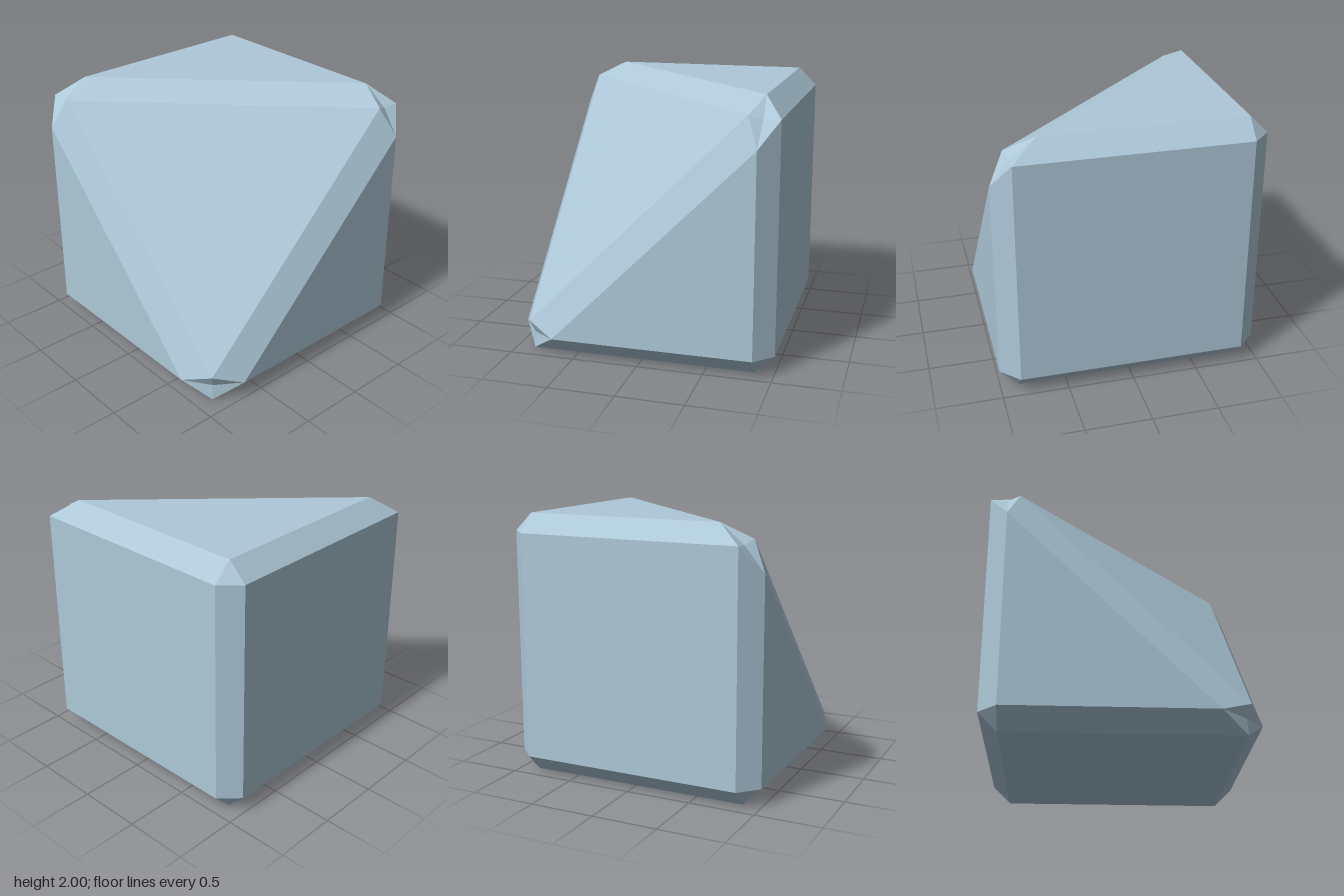
import * as THREE from 'three';

// A bevelled cube with one corner sliced off, symmetric about the diagonal (1,1,1).
const b = 0.861; // bevel inset on cube faces
const t = 0.668; // tip of the half faces beside the slice
const c = 0.888, d = 0.776; // corners of the slice face

// Cyclic axis turn: a third of a revolution about the diagonal
const turn = ([x, y, z]) => [z, x, y];
const threeTimes = (polys) => polys.flatMap((p) => {
  const q = p.map(turn);
  return [p, q, q.map(turn)];
});

// Builds flat polygons as triangle fans, each wound to face away from the centre
function facets(polys) {
  const pos = [];
  for (const poly of polys) {
    const v = poly.map((p) => new THREE.Vector3(...p));
    for (let i = 1; i < v.length - 1; i++) {
      const tri = [v[0], v[i], v[i + 1]];
      const n = tri[1].clone().sub(tri[0]).cross(tri[2].clone().sub(tri[0]));
      if (n.dot(tri[0]) < 0) tri.reverse();
      tri.forEach((p) => pos.push(p.x, p.y, p.z));
    }
  }
  const geo = new THREE.BufferGeometry();
  geo.setAttribute('position', new THREE.Float32BufferAttribute(pos, 3));
  geo.translate(0, 1, 0);
  geo.computeVertexNormals();
  return geo;
}

export function createModel() {
  const group = new THREE.Group();
  group.name = 'slicedCube';
  const mat = new THREE.MeshStandardMaterial({ color: 0xadc8d8 });
  mat.name = 'paleBlue';
  const add = (name, polys) => {
    const mesh = new THREE.Mesh(facets(polys), mat);
    mesh.name = name;
    group.add(mesh);
  };

  // Main faces
  add('squareFaces', threeTimes([[[-1, -b, -b], [-1, b, -b], [-1, b, b], [-1, -b, b]]]));
  add('halfFaces', threeTimes([[[1, -b, -b], [1, t, -b], [1, -b, t]]]));
  add('sliceFace', [[[c, c, -d], [-d, c, c], [c, -d, c]]]);

  // Bevel strips along the edges
  add('sliceBevels', threeTimes([[[c, -d, c], [c, c, -d], [1, t, -b], [1, -b, t]]]));
  add('edgeBevels', threeTimes([
    [[-1, -b, -b], [-b, -1, -b], [-b, -1, b], [-1, -b, b]],
    [[-1, -b, b], [-b, -b, 1], [-b, t, 1], [-1, b, b]],
    [[-1, b, -b], [-b, 1, -b], [-b, 1, t], [-1, b, b]],
  ]));

  // Plain three-sided corners
  add('cornerBevels', [
    [[-1, -b, -b], [-b, -1, -b], [-b, -b, -1]],
    ...threeTimes([[[1, -b, -b], [b, -1, -b], [b, -b, -1]]]),
  ]);

  // Four-sided corners at the slice tips, dented to their mean point
  const rim = [[-1, b, b], [-b, t, 1], [-d, c, c], [-b, 1, t]];
  const mid = [0, 1, 2].map((k) => rim.reduce((s, p) => s + p[k], 0) / 4);
  add('tipCorners', threeTimes(rim.map((p, i) => [mid, p, rim[(i + 1) % 4]])));

  return group;
}
